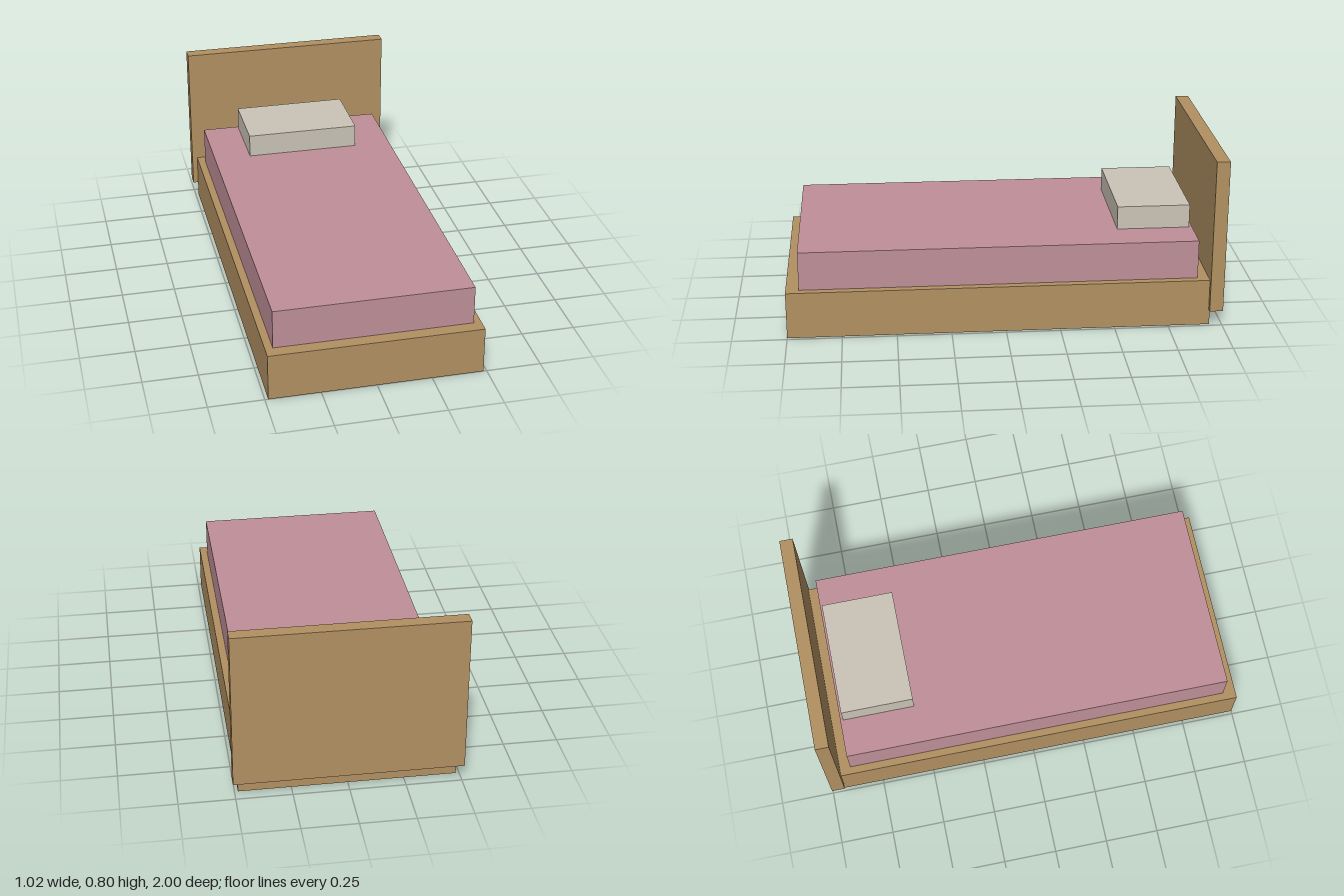
import * as THREE from 'three';

const material = (name, color) => {
  const m = new THREE.MeshStandardMaterial({ color });
  m.name = name;
  return m;
};

export function createModel() {
  const bed = new THREE.Group();
  bed.name = 'bed';
  const wood = material('wood', 0xb29162);
  const blanket = material('pink blanket', 0xc09099);
  const linen = material('pale linen', 0xcbc4b7);

  // Block centred on x = 0, given by its width and its y and z limits
  const block = (name, mat, width, [y0, y1], [z0, z1]) => {
    const mesh = new THREE.Mesh(new THREE.BoxGeometry(width, y1 - y0, z1 - z0), mat);
    mesh.name = name;
    mesh.position.set(0, (y0 + y1) / 2, (z0 + z1) / 2);
    bed.add(mesh);
  };

  block('bedBase', wood, 0.97, [0, 0.22], [-0.943, 1]);
  block('headboard', wood, 1.02, [0.075, 0.802], [-1, -0.938]);
  block('mattress', blanket, 0.9, [0.22, 0.402], [-0.887, 0.94]);
  block('pillow', linen, 0.544, [0.402, 0.512], [-0.873, -0.535]);

  return bed;
}
